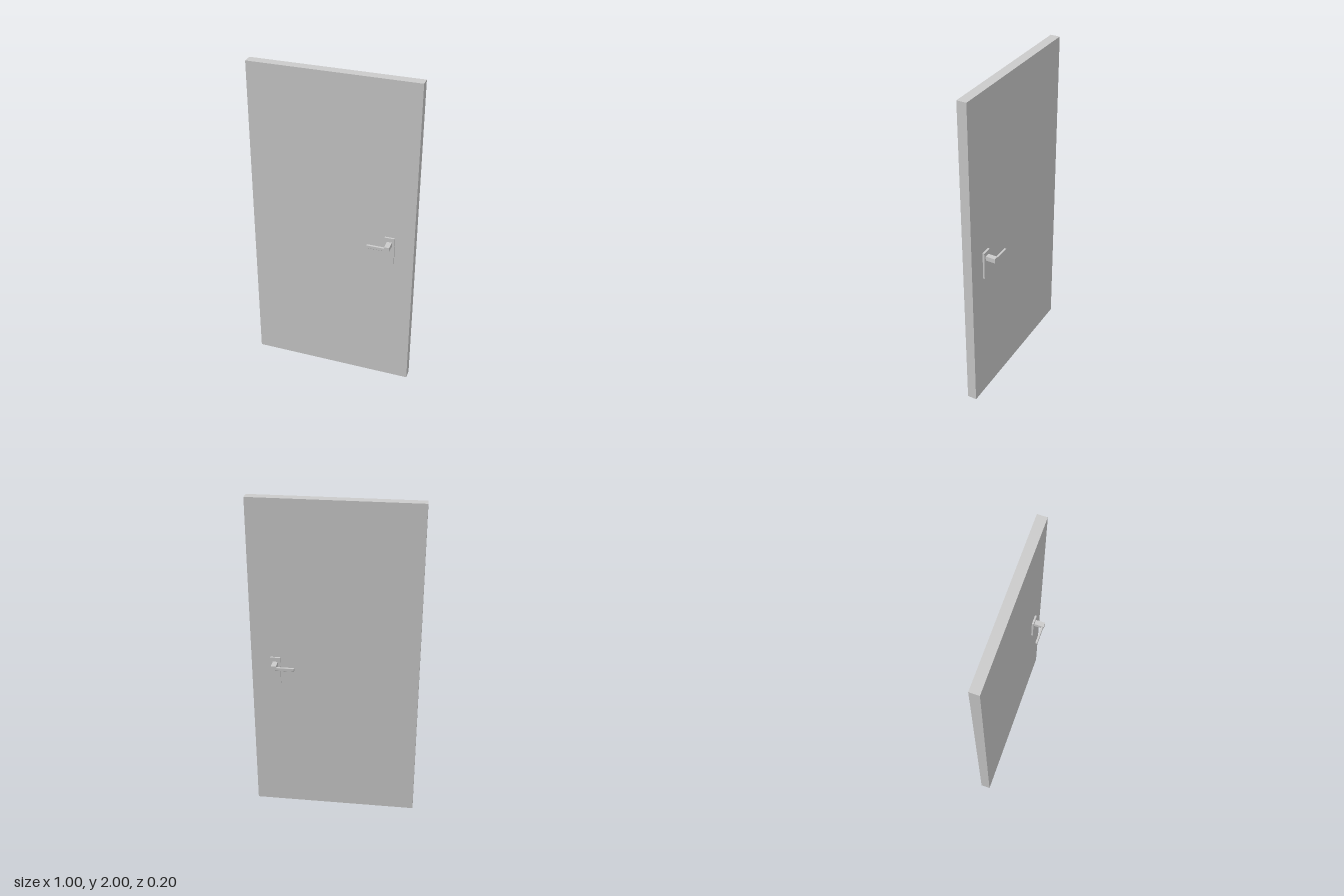
import * as THREE from 'three';
import { RoundedBoxGeometry } from 'three/addons/geometries/RoundedBoxGeometry.js';

const material = new THREE.MeshStandardMaterial({ color: 0xcccccc });
const T = 0.058; // door thickness
const PANE = { x: 0.208, y: 1.505, w: 0.254, h: 0.67 };

function add(parent, name, geometry, x, y, z) {
  const mesh = new THREE.Mesh(geometry, material);
  mesh.name = name;
  mesh.position.set(x, y, z);
  parent.add(mesh);
}

function rectangle(path, cx, cy, w, h) {
  path.moveTo(cx - w / 2, cy - h / 2);
  path.lineTo(cx + w / 2, cy - h / 2);
  path.lineTo(cx + w / 2, cy + h / 2);
  path.lineTo(cx - w / 2, cy + h / 2);
  path.closePath();
  return path;
}

// One set of door furniture, side = 1 front, -1 back
function createHandle(side) {
  const handle = new THREE.Group();
  handle.name = side > 0 ? 'frontHandle' : 'backHandle';
  add(handle, 'backPlate', new THREE.BoxGeometry(0.06, 0.175, 0.012), 0.355, 0.945, side * 0.034);
  add(handle, 'stem', new THREE.BoxGeometry(0.03, 0.028, 0.065), 0.355, 0.992, side * 0.0675);
  add(handle, 'lever', new RoundedBoxGeometry(0.125, 0.021, 0.013, 2, 0.003), 0.2955, 0.985, side * 0.09);
  return handle;
}

export function createModel() {
  const door = new THREE.Group();
  door.name = 'door';

  // Slab with two openings
  const outline = rectangle(new THREE.Shape(), 0, 1, 1, 2);
  for (const s of [-1, 1]) {
    outline.holes.push(rectangle(new THREE.Path(), s * PANE.x, PANE.y, PANE.w, PANE.h));
  }
  const slab = new THREE.ExtrudeGeometry(outline, { depth: T, bevelEnabled: false });
  add(door, 'doorSlab', slab, 0, 0, -T / 2);

  // Flush panels filling the openings
  for (const s of [-1, 1]) {
    add(door, s > 0 ? 'leftPanel' : 'rightPanel', new THREE.BoxGeometry(PANE.w, PANE.h, T), s * PANE.x, PANE.y, 0);
    door.add(createHandle(s));
  }
  return door;
}
